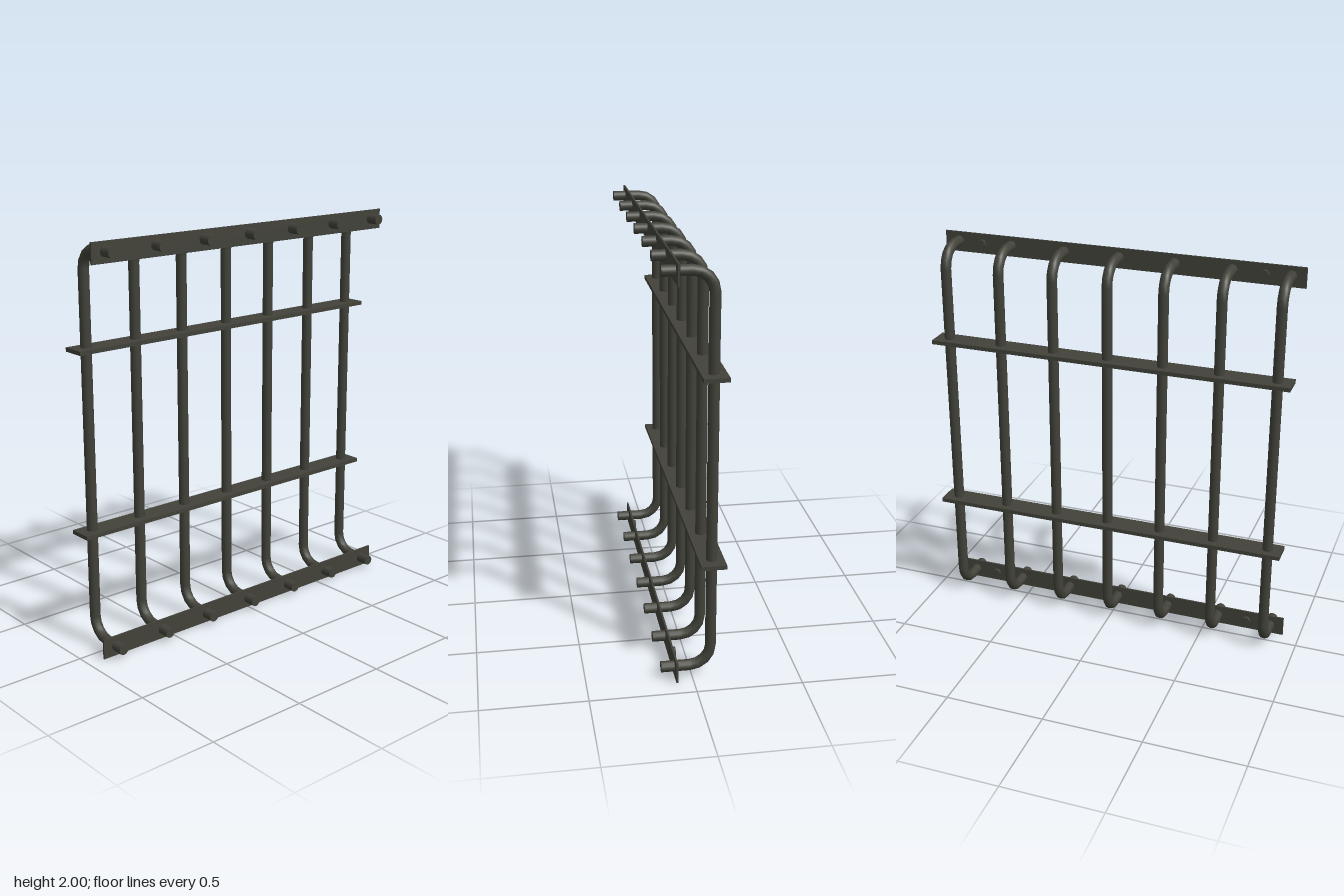
import * as THREE from 'three';

export function createModel() {
  const model = new THREE.Group();
  const iron = new THREE.MeshStandardMaterial({ color: 0x42423a });
  iron.name = 'dark iron';

  const add = (parent, name, geometry, x, y, z, rotZ = 0) => {
    const mesh = new THREE.Mesh(geometry, iron);
    mesh.name = name;
    mesh.position.set(x, y, z);
    mesh.rotation.z = rotZ;
    parent.add(mesh);
  };

  const LENGTH = 1.83, RADIUS = 0.026, BEND = 0.1;
  const BAR_X = -0.09, END_X = 0.145, LOW = 0.05, HIGH = 1.955;
  const bendX = BAR_X + BEND;
  const uprightLength = HIGH - LOW - 2 * BEND;
  const armLength = END_X - bendX;

  // Bars: an upright, two quarter bends and two arms reaching to the wall
  const upright = new THREE.CylinderGeometry(RADIUS, RADIUS, uprightLength, 12, 1, true);
  const arm = new THREE.CylinderGeometry(RADIUS, RADIUS, armLength, 12);
  const bend = new THREE.TorusGeometry(BEND, RADIUS, 12, 4, Math.PI / 2);
  for (let i = -3; i <= 3; i++) {
    const bar = new THREE.Group();
    bar.name = 'bar';
    bar.position.z = i * 0.281;
    add(bar, 'upright', upright, BAR_X, (LOW + HIGH) / 2, 0);
    add(bar, 'topBend', bend, bendX, HIGH - BEND, 0, Math.PI / 2);
    add(bar, 'bottomBend', bend, bendX, LOW + BEND, 0, Math.PI);
    for (const y of [LOW, HIGH]) add(bar, 'arm', arm, bendX + armLength / 2, y, 0, Math.PI / 2);
    model.add(bar);
  }

  // Flat rails threaded by the uprights
  const rail = new THREE.BoxGeometry(0.118, 0.02, LENGTH);
  for (const y of [0.585, 1.482]) add(model, 'rail', rail, BAR_X, y, 0);

  // Thin mounting plates, each with two small bolt heads behind
  const plate = new THREE.BoxGeometry(0.009, 0.1, LENGTH);
  const bolt = new THREE.CylinderGeometry(0.024, 0.024, 0.02, 6);
  for (const y of [0.05, 1.95]) {
    add(model, 'mountingPlate', plate, 0.078, y, 0);
    for (const z of [-0.718, 0.718]) add(model, 'boltHead', bolt, 0.066, y, z, Math.PI / 2);
  }
  return model;
}
